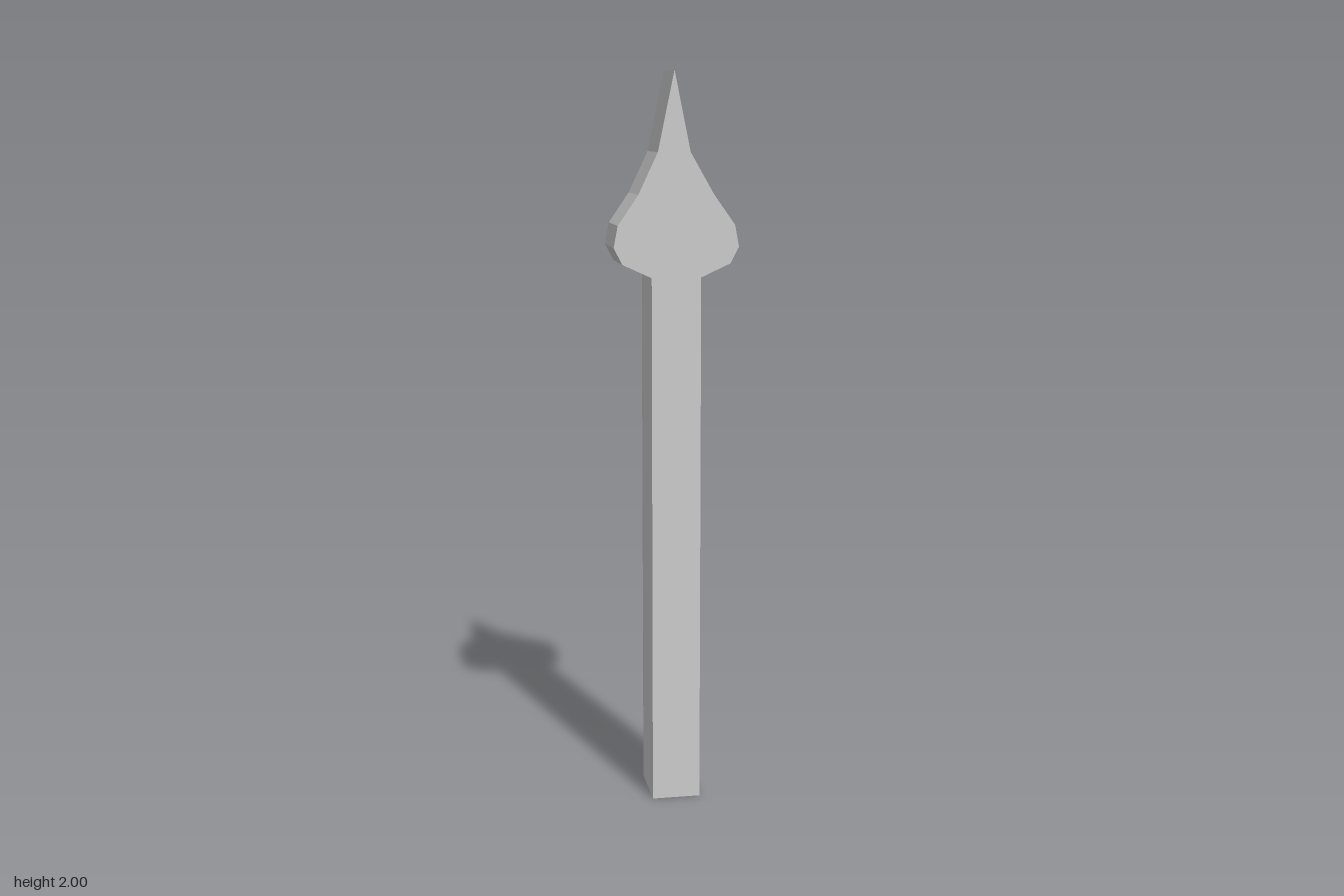
import * as THREE from 'three';

const DEPTH = 0.17;

export function createModel() {
  const group = new THREE.Group();
  group.name = 'fencePicket';

  // Outline, counter-clockwise from the foot: square post, flared spear head, pointed tip
  const outline = [
    [-0.067, 0], [0.066, 0],
    [0.066, 1.462], [0.145, 1.498], [0.168, 1.542], [0.157, 1.6],
    [0.1, 1.68], [0.037, 1.79],
    [-0.006, 2],
    [-0.05, 1.79], [-0.102, 1.68], [-0.157, 1.6],
    [-0.168, 1.542], [-0.145, 1.498], [-0.067, 1.462],
  ].map(([x, y]) => new THREE.Vector2(x, y));

  // Post and head are one continuous flat-sided solid
  const geometry = new THREE.ExtrudeGeometry(new THREE.Shape(outline), {
    depth: DEPTH,
    bevelEnabled: false,
  });
  geometry.translate(0, 0, -DEPTH / 2);

  const picket = new THREE.Mesh(
    geometry,
    new THREE.MeshStandardMaterial({ color: 0xcccccc, flatShading: true })
  );
  picket.name = 'postWithSpearHead';
  group.add(picket);
  return group;
}
